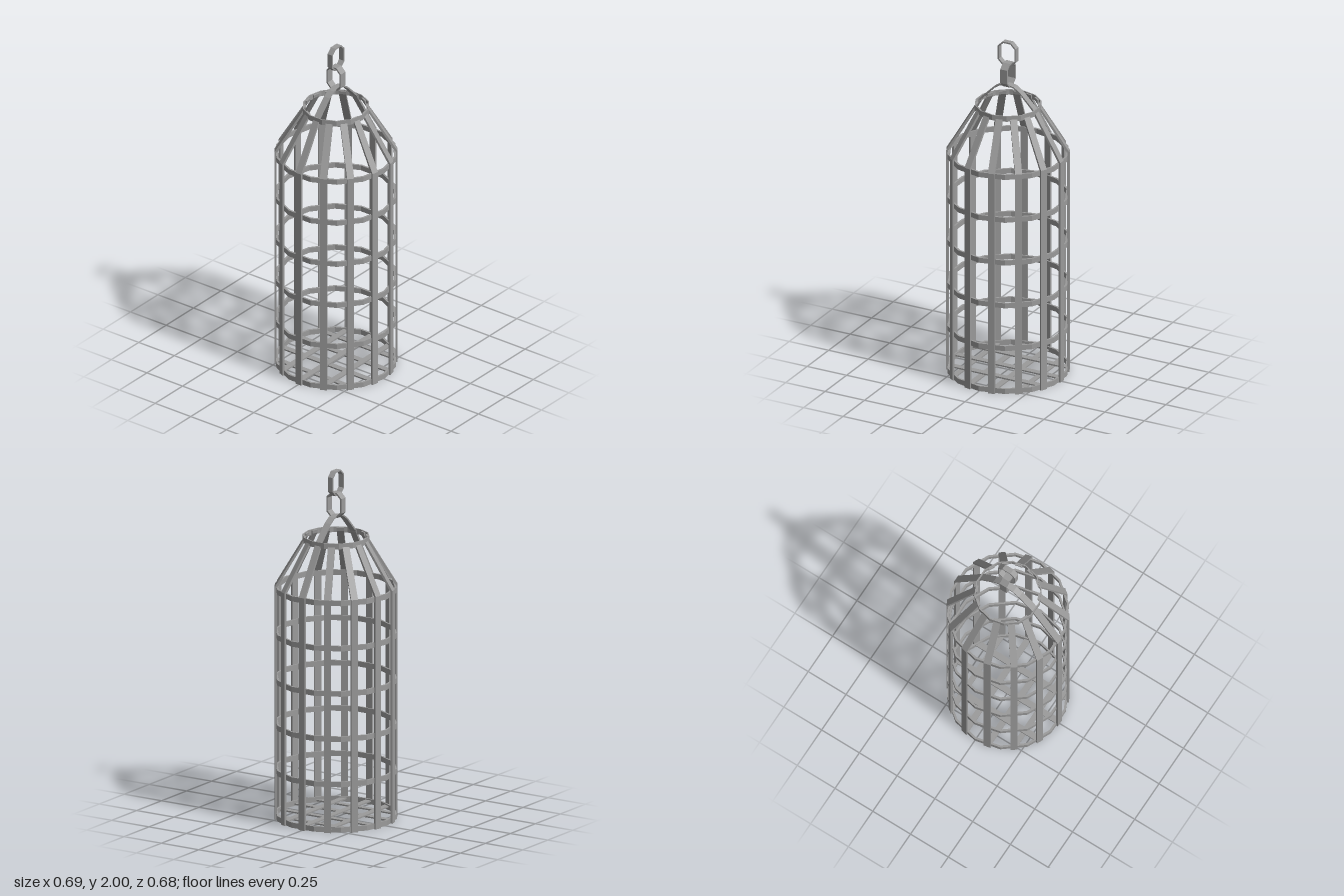
import * as THREE from 'three';

const SIDES = 14;
const STEP = (Math.PI * 2) / SIDES;
const material = new THREE.MeshStandardMaterial({ color: 0x9a9a9a, flatShading: true, side: THREE.DoubleSide });

const points = (list) => list.map(([x, y]) => new THREE.Vector2(x, y));

function addMesh(parent, name, geometry) {
  const mesh = new THREE.Mesh(geometry, material);
  mesh.name = name;
  parent.add(mesh);
  return mesh;
}

// Flat profile in the xy plane, given a depth centred on z = 0
function slab(outline, depth, hole) {
  const shape = new THREE.Shape(points(outline));
  if (hole) shape.holes.push(new THREE.Path(points(hole)));
  return new THREE.ExtrudeGeometry(shape, { depth, bevelEnabled: false }).translate(0, 0, -depth / 2);
}

// Polygon whose corners fall halfway between the upright bars
function polygon(radius) {
  return Array.from({ length: SIDES }, (_, i) => {
    const a = (i + 0.5) * STEP;
    return [radius * Math.cos(a), radius * Math.sin(a)];
  });
}

function hoop(parent, name, radius, thickness, y, height) {
  const geometry = slab(polygon(radius), height, polygon(radius - thickness)).rotateX(Math.PI / 2);
  addMesh(parent, name, geometry).position.y = y;
}

// Elongated octagon used for the chain links
function octagon(w, h, c) {
  return [[w, h - c], [w - c, h], [c - w, h], [-w, h - c], [-w, c - h], [c - w, -h], [w - c, -h], [w, c - h]];
}

function link(parent, name, w, h, depth, y) {
  const t = 0.008;
  const mesh = addMesh(parent, name, slab(octagon(w, h, 0.03), depth, octagon(w - t, h - t, 0.026)));
  mesh.position.y = y;
  return mesh;
}

export function createModel() {
  const model = new THREE.Group();
  model.name = 'hangingCage';

  // Upright bars: straight, bent inwards at the shoulder, tucked into the top hoop
  const bar = slab([
    [0.331, 0], [0.343, 0], [0.343, 1.34], [0.183, 1.605], [0.178, 1.622],
    [0.168, 1.622], [0.171, 1.603], [0.331, 1.335],
  ], 0.04);
  const bars = new THREE.Group();
  bars.name = 'uprightBars';
  for (let i = 0; i < SIDES; i++) addMesh(bars, 'uprightBar', bar).rotation.y = i * STEP;
  model.add(bars);

  // Body hoops and top hoop
  for (let i = 0; i < 6; i++) hoop(model, 'bodyHoop', 0.342, 0.012, 0.018 + i * 0.261, 0.03);
  hoop(model, 'topHoop', 0.188, 0.006, 1.61, 0.032);

  // Floor lattice, each strip cut to the inside of the bottom hoop
  const floor = new THREE.Group();
  floor.name = 'floorLattice';
  const chord = (d) => 2 * Math.sqrt(0.331 ** 2 - d * d);
  for (const z of [-0.147, 0, 0.145]) {
    addMesh(floor, 'crossStrip', new THREE.BoxGeometry(chord(z), 0.008, 0.036)).position.set(0, 0.022, z);
  }
  for (const x of [-0.206, -0.075, 0.073, 0.207]) {
    const width = Math.abs(x) > 0.1 ? 0.031 : 0.035;
    addMesh(floor, 'longStrip', new THREE.BoxGeometry(width, 0.008, chord(x))).position.set(x, 0.014, 0);
  }
  model.add(floor);

  // Arched strap over the top hoop: straight sides and a rounded crown
  const half = [[0.181, 1.6], [0.179, 1.618], [0.085, 1.712], [0.045, 1.738]];
  const outer = [...half, [0, 1.745], ...half.map(([x, y]) => [-x, y]).reverse()];
  const inner = outer.map(([x, y]) => [x * 0.96, y - (y > 1.61 ? 0.008 : 0)]).reverse();
  addMesh(model, 'topStrap', slab([...outer, ...inner], 0.038));

  // Two chain links, turned a quarter from each other
  link(model, 'lowerLink', 0.05, 0.072, 0.044, 1.803).rotation.y = Math.PI / 2;
  link(model, 'upperLink', 0.057, 0.071, 0.032, 1.929);

  return model;
}
